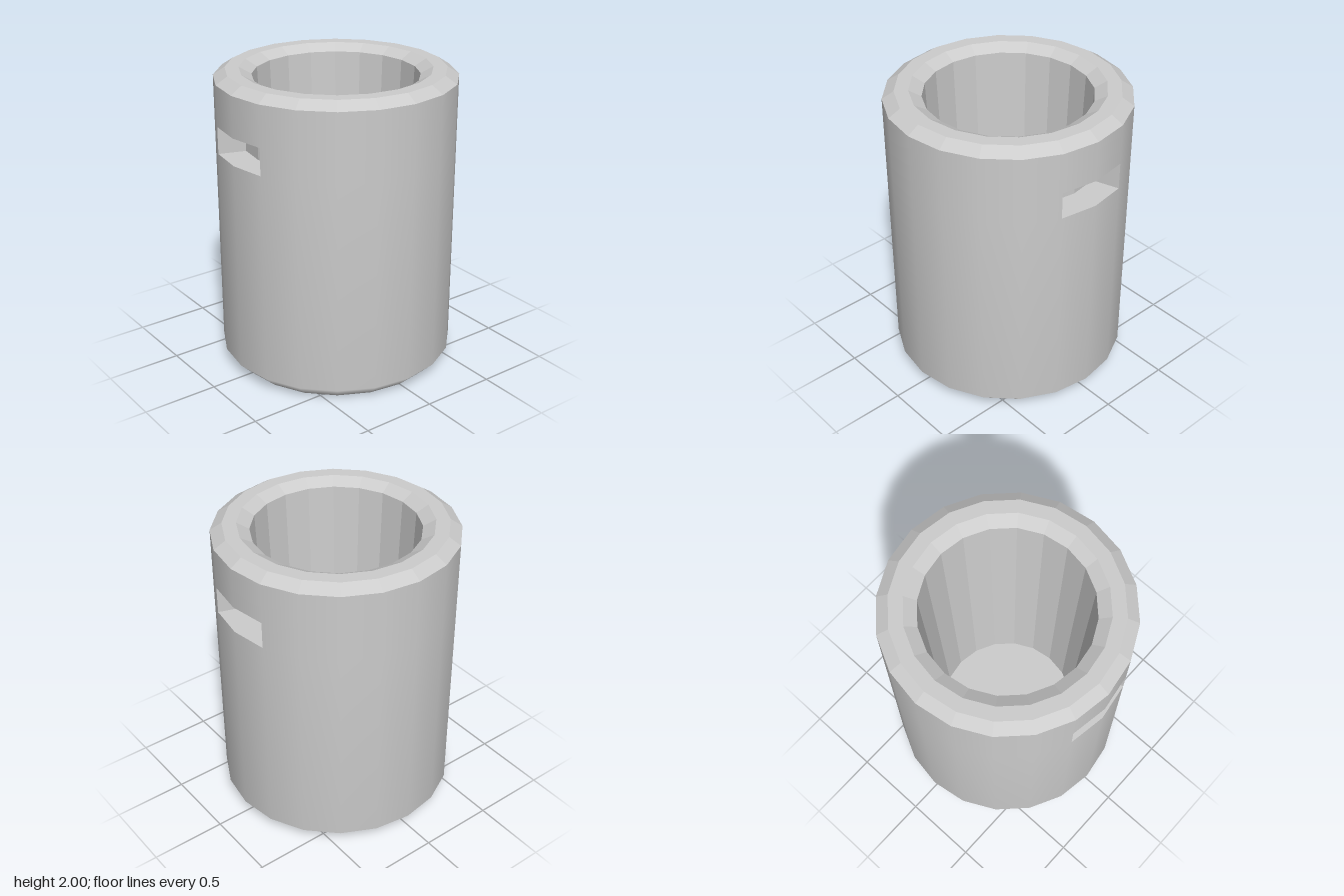
import * as THREE from 'three';

const SIDES = 20;
const STEP = (Math.PI * 2) / SIDES;
const R = 0.786; // outer radius
const SLOT = { bottom: 1.5, top: 1.68, inner: 0.605 };

// Thin shell, open underneath, so both sides show
const smooth = new THREE.MeshStandardMaterial({ color: 0xcccccc, side: THREE.DoubleSide });
const flat = new THREE.MeshStandardMaterial({ color: 0xcccccc, flatShading: true, side: THREE.DoubleSide });

// Revolves [radius, height] points over a number of facets, starting at a facet index
function revolve(name, points, material, start = 0, count = SIDES) {
  const profile = points.map(([r, y]) => new THREE.Vector2(r, y));
  const geometry = new THREE.LatheGeometry(profile, count, start * STEP, count * STEP);
  geometry.normalizeNormals();
  const mesh = new THREE.Mesh(geometry, material);
  mesh.name = name;
  return mesh;
}

// Shallow slot, two facets wide, with radial end walls
function slot(name, turn) {
  const group = new THREE.Group();
  group.name = name;
  group.add(revolve('slotRecess', [
    [R, SLOT.bottom], [SLOT.inner, SLOT.bottom], [SLOT.inner, SLOT.top], [R, SLOT.top],
  ], flat, -1, 2));
  for (const side of [-1, 1]) {
    const angle = side * STEP;
    const mid = (R + SLOT.inner) / 2;
    const wall = new THREE.Mesh(new THREE.PlaneGeometry(R - SLOT.inner, SLOT.top - SLOT.bottom), flat);
    wall.name = 'slotEnd';
    wall.rotation.y = angle - Math.PI / 2;
    wall.position.set(Math.sin(angle) * mid, (SLOT.top + SLOT.bottom) / 2, Math.cos(angle) * mid);
    group.add(wall);
  }
  group.rotation.y = turn;
  return group;
}

export function createModel() {
  const model = new THREE.Group();
  model.name = 'sleeve';

  // Outer wall: chamfered lower part, band broken by the slots, upper part
  model.add(revolve('lowerWall', [[0.7, 0], [R, 0.085], [R, SLOT.bottom]], smooth));
  for (const start of [1, 11]) {
    model.add(revolve('slotBand', [[R, SLOT.bottom], [R, SLOT.top]], smooth, start, 8));
  }
  model.add(revolve('upperWall', [[R, SLOT.top], [R, 1.95]], smooth));

  // Faceted rim: outer chamfer, then flat top and funnel
  model.add(revolve('rimChamfer', [[R, 1.95], [0.71, 2]], flat));
  model.add(revolve('rimTop', [[0.71, 2], [0.62, 2], [0.54, 1.955]], flat));

  // Tapered cup hanging inside the shell, closed by a floor
  model.add(revolve('bore', [[0.54, 1.955], [0.47, 0.19]], flat));
  model.add(revolve('boreFloor', [[0.47, 0.19], [0, 0.19]], flat));

  model.add(slot('frontSlot', 0), slot('backSlot', Math.PI));
  return model;
}
